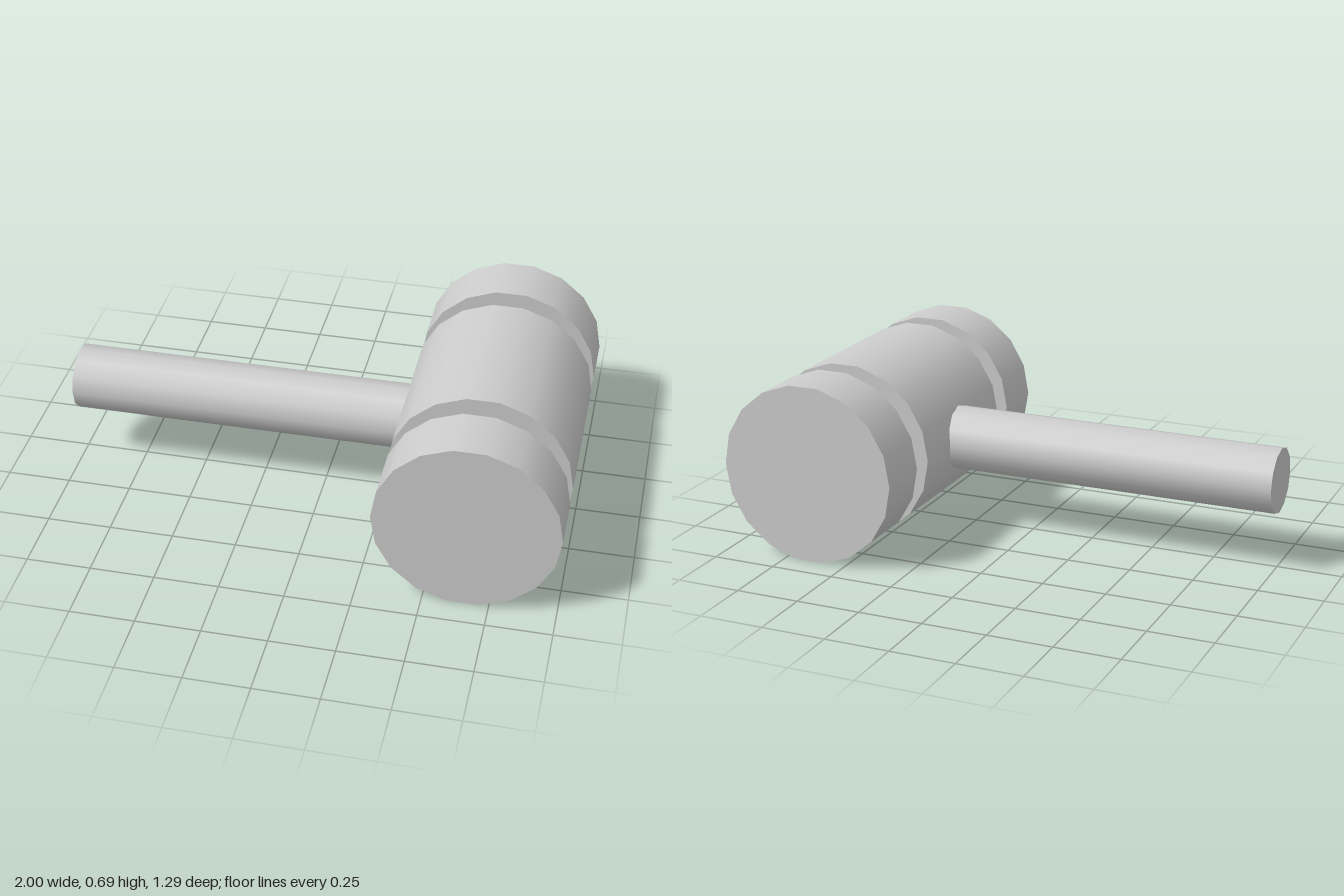
import * as THREE from 'three';

const HEAD_X = 0.65, AXIS_Y = 0.345, HEAD_SIDES = 18;

export function createModel() {
  const model = new THREE.Group();
  model.name = 'mallet';
  const material = new THREE.MeshStandardMaterial({ color: 0xcccccc });

  // One drum of the head, lying along z with corners facing left and right
  const addDrum = (name, radius, z0, z1, open = false) => {
    const geometry = new THREE.CylinderGeometry(radius, radius, z1 - z0, HEAD_SIDES, 1, open, Math.PI / 2);
    geometry.rotateX(Math.PI / 2);
    const mesh = new THREE.Mesh(geometry, material);
    mesh.name = name;
    mesh.position.set(HEAD_X, AXIS_Y, (z0 + z1) / 2);
    model.add(mesh);
  };

  // Head: central barrel, two recessed necks and two striking ends
  addDrum('headBarrel', 0.35, -0.325, 0.325);
  addDrum('frontNeck', 0.264, 0.325, 0.418, true);
  addDrum('backNeck', 0.264, -0.418, -0.325, true);
  addDrum('frontStrikingEnd', 0.35, 0.418, 0.645);
  addDrum('backStrikingEnd', 0.35, -0.645, -0.418);

  // Handle, running sideways into the barrel
  const x0 = -1, x1 = 0.4;
  const handleGeometry = new THREE.CylinderGeometry(0.127, 0.127, x1 - x0, 12);
  handleGeometry.rotateZ(Math.PI / 2);
  const handle = new THREE.Mesh(handleGeometry, material);
  handle.name = 'handle';
  handle.position.set((x0 + x1) / 2, AXIS_Y, 0);
  model.add(handle);

  return model;
}
